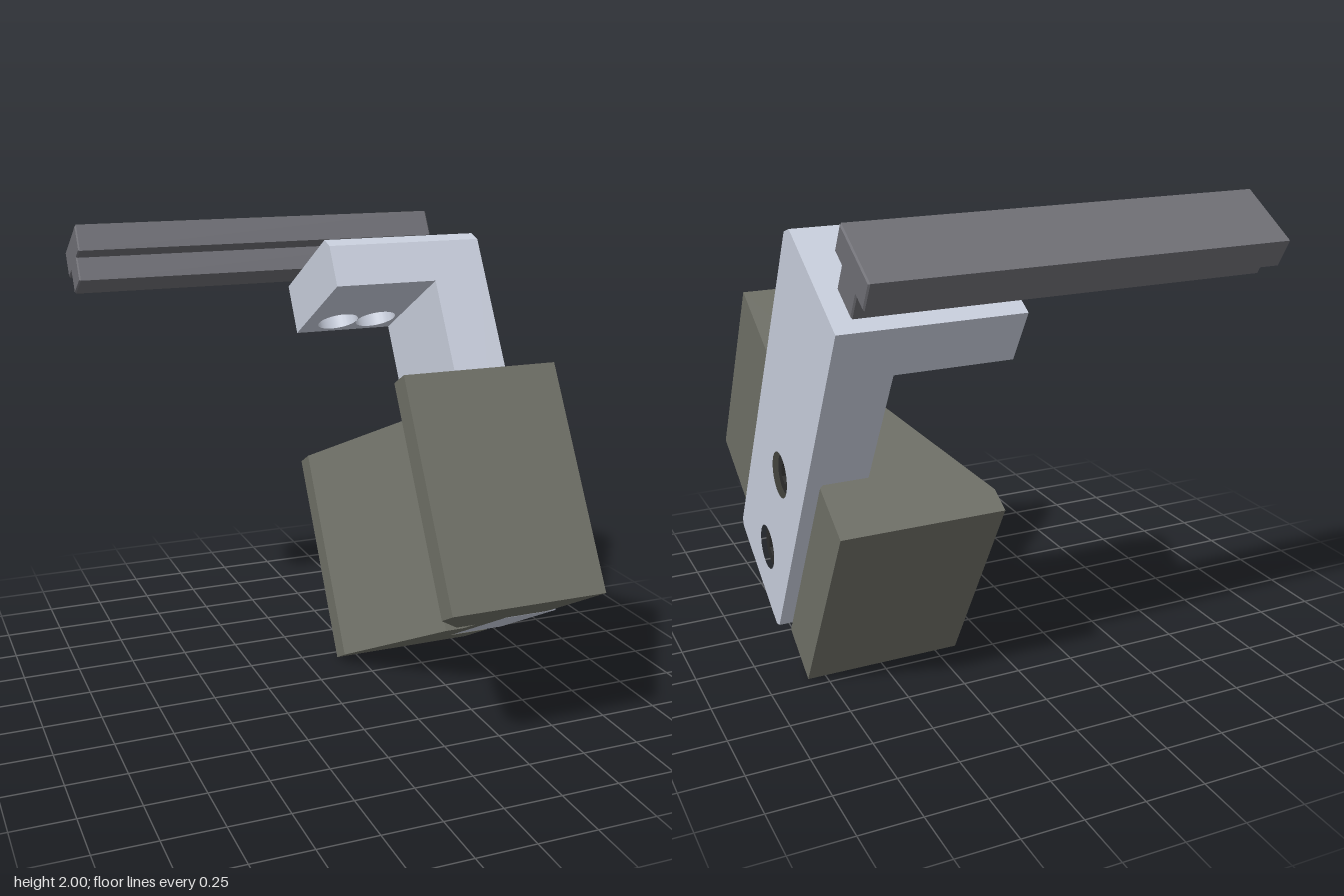
import * as THREE from 'three';
import { toCreasedNormals } from 'three/addons/utils/BufferGeometryUtils.js';

const steel = new THREE.MeshStandardMaterial({ color: 0xc8cedc });
const blockGrey = new THREE.MeshStandardMaterial({ color: 0x6e6f66 });
const railGrey = new THREE.MeshStandardMaterial({ color: 0x6e6e74 });
const black = new THREE.MeshStandardMaterial({ color: 0x2c2c2c });

const HOLE = 0.095, HEAD = 0.083;

// Extrude an outline with round holes; every hole is [a, b]
function prism(points, holes, depth, bevel = 0) {
  const shape = new THREE.Shape(points.map(([a, b]) => new THREE.Vector2(a, b)));
  for (const [a, b] of holes) {
    shape.holes.push(new THREE.Path().absarc(a, b, HOLE, 0, Math.PI * 2, true));
  }
  const geometry = new THREE.ExtrudeGeometry(shape, {
    depth: depth - 2 * bevel, curveSegments: 32, bevelEnabled: bevel > 0,
    bevelSize: bevel, bevelThickness: bevel, bevelOffset: -bevel, bevelSegments: 1,
  }).translate(0, 0, bevel);
  return toCreasedNormals(geometry, 0.5);
}

// Outline given as [z, y], swept from x0 to x1
function alongX(points, x0, x1, holes = [], bevel = 0) {
  const flip = ([z, y]) => [-z, y];
  return prism(points.map(flip), holes.map(flip), x1 - x0, bevel)
    .rotateY(Math.PI / 2).translate(x0, 0, 0);
}

// Outline given as [x, z], swept from y0 to y1
function alongY(points, y0, y1, holes = []) {
  const flip = ([x, z]) => [x, -z];
  return prism(points.map(flip), holes.map(flip), y1 - y0)
    .rotateX(-Math.PI / 2).translate(0, y0, 0);
}

function add(parent, name, geometry, material) {
  const mesh = new THREE.Mesh(geometry, material);
  mesh.name = name;
  parent.add(mesh);
  return mesh;
}

// Socket head screw whose head faces +z, with its top at the origin
function socketScrew(name, length) {
  const screw = new THREE.Group();
  screw.name = name;
  const socketDepth = 0.05;
  const ring = new THREE.Shape().absarc(0, 0, HEAD, 0, Math.PI * 2);
  const hex = [];
  for (let i = 0; i < 6; i++) {
    const a = -i * Math.PI / 3;
    hex.push(new THREE.Vector2(0.045 * Math.cos(a), 0.045 * Math.sin(a)));
  }
  ring.holes.push(new THREE.Path(hex));
  const head = new THREE.ExtrudeGeometry(ring, { depth: socketDepth, bevelEnabled: false, curveSegments: 32 });
  add(screw, 'socketHead', toCreasedNormals(head.translate(0, 0, -socketDepth), 0.5), black);
  const shank = new THREE.CylinderGeometry(HEAD, HEAD, length - socketDepth, 32).rotateX(Math.PI / 2);
  add(screw, 'shank', shank.translate(0, 0, -(length + socketDepth) / 2), black);
  return screw;
}

export function createModel() {
  const model = new THREE.Group();
  model.name = 'railBracket';
  const tilted = new THREE.Group();
  tilted.name = 'tiltedAssembly';
  tilted.rotation.x = -Math.PI / 6;
  model.add(tilted);

  // Block with a V groove on one side and a slot for the bracket on the other
  const blockOutline = [
    [0.155, -0.166], [0.155, -0.06], [0.45, 0.45], [0.54, 0.45], [0.54, 0.562],
    [0.45, 0.562], [0.155, 1.075], [0.155, 1.178], [0.825, 1.178], [0.825, 0.705],
    [0.81, 0.692], [0.625, 0.692], [0.625, 0.098], [0.81, 0.098], [0.825, 0.085], [0.825, -0.166],
  ];
  add(tilted, 'grooveBlock', alongY(blockOutline, 0.1, 1.055), blockGrey);

  // L bracket: upright plate with counterbores for two screws
  const bracket = new THREE.Group();
  bracket.name = 'bracket';
  tilted.add(bracket);
  const plateScrews = [[0.363, 0.339], [0.363, 0.818]];
  const uprightOutline = [
    [0.13, 0.1], [0.665, 0.1], [0.69, 0.125], [0.69, 1.805], [0.647, 1.852], [0.1, 1.852], [0.1, 0.13],
  ];
  add(bracket, 'uprightPlate', alongX(uprightOutline, 0.625, 0.875, plateScrews), steel);

  // Arm of the bracket: drilled lower slab and bevelled cap
  const armScrews = [[0.32, 0.225], [0.51, 0.225]];
  const armOutline = [[0.155, 0.1], [0.155, 0.69], [0.625, 0.69], [0.625, 0.1]];
  add(bracket, 'armSlab', alongY(armOutline, 1.617, 1.805, armScrews), steel);
  const capOutline = [[0.1, 1.805], [0.69, 1.805], [0.647, 1.852], [0.1, 1.852]];
  add(bracket, 'armCap', alongX(capOutline, 0.155, 0.625), steel);

  // T rail on top of the arm
  const railOutline = [
    [0.165, 1.853], [0.318, 1.853], [0.318, 1.96], [0.394, 1.96],
    [0.394, 2.082], [0.088, 2.082], [0.088, 1.96], [0.165, 1.96],
  ];
  add(tilted, 'tRail', alongX(railOutline, -0.875, 0.8, [], 0.006), railGrey);

  // Screws through the plate and up through the arm
  for (const [z, y] of plateScrews) {
    const screw = socketScrew('plateScrew', 0.22);
    screw.position.set(0.855, y, z);
    screw.rotation.y = Math.PI / 2;
    tilted.add(screw);
  }
  for (const [x, z] of armScrews) {
    const screw = socketScrew('armScrew', 0.1);
    screw.position.set(x, 1.71, z);
    screw.rotation.x = Math.PI / 2;
    tilted.add(screw);
  }
  return model;
}
